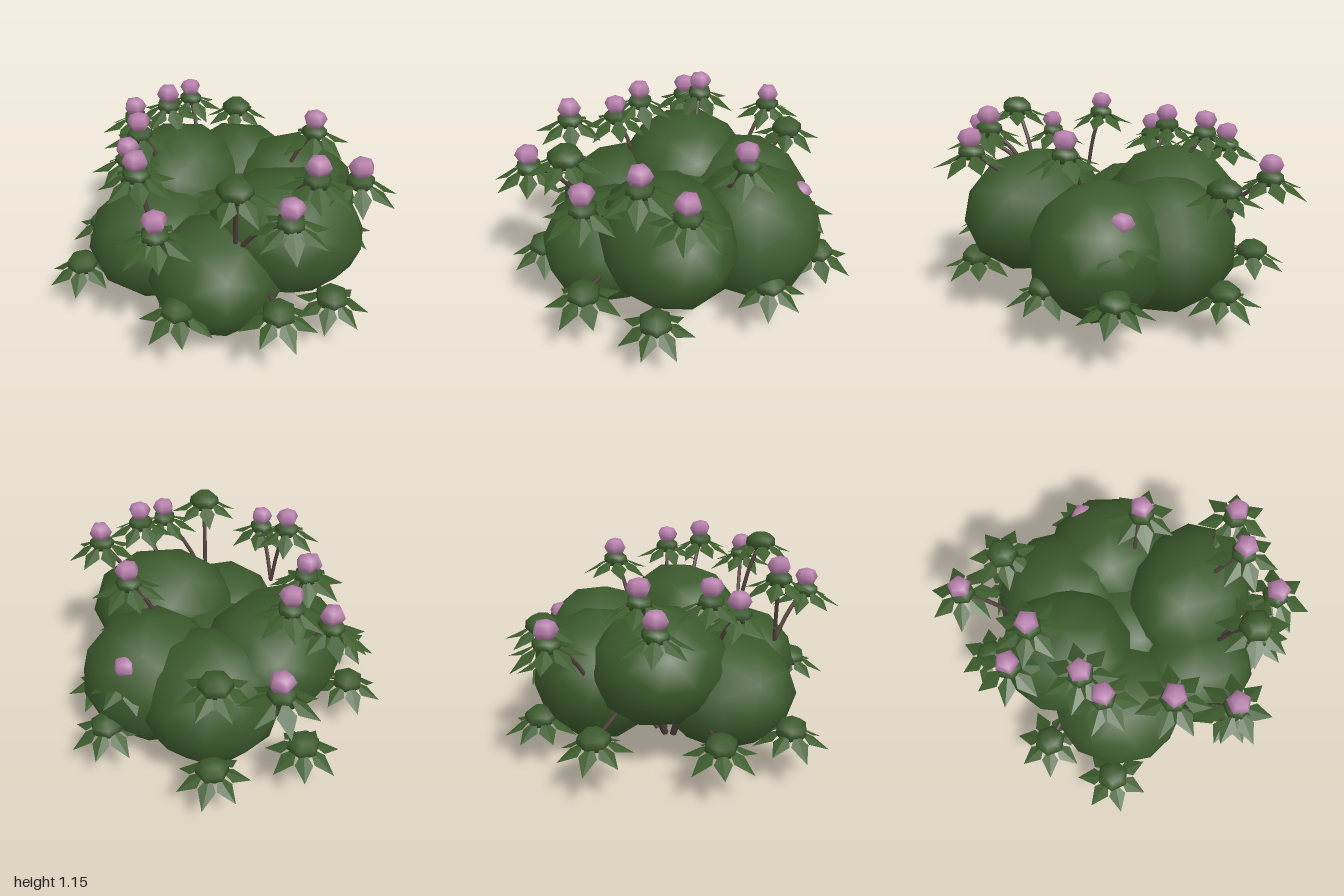
import * as THREE from 'three';
import { mergeVertices } from 'three/addons/utils/BufferGeometryUtils.js';

const mat = (name, color, side = THREE.FrontSide) => {
  const m = new THREE.MeshStandardMaterial({ color, side });
  m.name = name;
  return m;
};

// Foliage mounds: centre, radii, turn
const MOUNDS = [
  [[0.37, 0.575, 0.29], [0.425, 0.34, 0.35], 0.2],
  [[0.38, 0.47, -0.24], [0.39, 0.37, 0.38], 0.5],
  [[-0.27, 0.585, -0.17], [0.37, 0.315, 0.375], 0.1],
  [[-0.35, 0.4, 0.2], [0.38, 0.315, 0.385], 0.4],
  [[0.03, 0.4, 0.485], [0.355, 0.31, 0.36], 0.3],
  [[0.05, 0.455, -0.385], [0.395, 0.365, 0.38], 0],
  [[0.05, 0.5, 0.02], [0.33, 0.2, 0.33], 0],
];

// Flowering sprigs: position of the bud
const FLOWERS = [
  [-0.31, 0.9, -0.79], [-0.57, 0.96, -0.33], [-0.36, 1.06, -0.32], [-0.455, 1.04, 0.035],
  [-0.49, 0.96, 0.18], [-0.36, 1.07, 0.51], [-0.21, 0.93, 0.81], [0.41, 1.01, 0.745],
  [0.52, 1.1, 0.5], [0.735, 1.03, 0.365], [0.5, 1.05, -0.1], [0.48, 0.7, -0.47],
];

// Leaf-only sprigs: position of the leaf cap
const SPRIGS = [
  [0.15, 1.07, 0.72], [0, 0.81, -0.72], [0.02, 0.27, -0.76], [-0.45, 0.33, -0.62],
  [-0.74, 0.3, -0.05], [-0.75, 0.3, 0.37], [-0.12, 0.4, 0.8], [0.38, 0.41, 0.77],
  [0.65, 0.31, 0.5], [0.7, 0.34, -0.15], [0.6, 0.35, -0.54],
];

// Coarse rounded mound with its radii baked in
function moundGeometry([rx, ry, rz], turn) {
  const g = new THREE.IcosahedronGeometry(1.02, 1);
  g.rotateY(turn);
  g.scale(rx, ry, rz);
  g.deleteAttribute('normal');
  g.deleteAttribute('uv');
  const merged = mergeVertices(g, 1e-4);
  merged.computeVertexNormals();
  return merged;
}

// Ring of folded, drooping pointed leaves
function leafRingGeometry(count) {
  const pos = [];
  for (let i = 0; i < count; i++) {
    const a = (i / count) * Math.PI * 2;
    const droop = 0.02 * (i % 2);
    const pt = (r, w, y) => [
      r * Math.cos(a) - w * Math.sin(a), y, r * Math.sin(a) + w * Math.cos(a),
    ];
    const base = pt(0.04, 0, 0.002);
    const tip = pt(0.203, 0, -0.078 - droop);
    pos.push(...base, ...pt(0.108, 0.048, -0.045), ...tip);
    pos.push(...base, ...tip, ...pt(0.108, -0.048, -0.045));
  }
  const g = new THREE.BufferGeometry();
  g.setAttribute('position', new THREE.Float32BufferAttribute(pos, 3));
  g.computeVertexNormals();
  return g;
}

function tube(points, radius) {
  const curve = new THREE.CatmullRomCurve3(points.map((p) => new THREE.Vector3(...p)));
  return new THREE.TubeGeometry(curve, 5, radius, 6);
}

export function createModel() {
  const model = new THREE.Group();
  model.name = 'floweringBush';
  const green = mat('foliage green', 0x3b592c);
  const leafGreen = mat('leaf green', 0x3d5c2d, THREE.DoubleSide);
  const pink = mat('blossom pink', 0xb67fab);
  const bark = mat('bark brown', 0x4f3f3b, THREE.DoubleSide);

  const add = (parent, name, geometry, material) => {
    const m = new THREE.Mesh(geometry, material);
    m.name = name;
    parent.add(m);
    return m;
  };

  // Foliage
  for (const [centre, radii, turn] of MOUNDS) {
    add(model, 'foliageMound', moundGeometry(radii, turn), green).position.set(...centre);
  }

  // Trunks fanning out from the ground
  const trunks = [
    [-0.06, 0.02, -0.22, 0.02], [-0.03, 0.1, -0.1, 0.17], [0.02, 0.09, 0.03, 0.17],
    [0.02, 0, 0.02, -0.16], [0.05, -0.03, 0.18, -0.17], [0.08, 0.03, 0.22, 0.1],
    [-0.03, -0.02, -0.12, -0.18],
  ];
  for (const [x, z, tx, tz] of trunks) {
    const mid = [x + (tx - x) * 0.4, 0.15, z + (tz - z) * 0.4];
    add(model, 'trunk', tube([[x, 0.01, z], mid, [tx, 0.42, tz]], 0.022), bark);
  }

  // Sprigs: twig, leaf ring, cap and optional bud
  const ring = leafRingGeometry(7);
  const cap = new THREE.SphereGeometry(0.092, 6, 4, 0, Math.PI * 2, 0, Math.PI * 0.75);
  cap.scale(1, 0.68, 1);
  const bud = new THREE.SphereGeometry(0.068, 5, 4);
  bud.scale(1, 0.8, 1);

  function sprig([x, y, z], turn, flower) {
    const g = new THREE.Group();
    g.name = flower ? 'flowerSprig' : 'leafSprig';
    g.position.set(x, flower ? y - 0.075 : y, z);
    g.rotation.y = turn;
    add(g, 'leaves', ring, leafGreen);
    const c = add(g, 'leafCap', cap, green);
    if (flower) {
      c.scale.set(0.8, 0.8, 0.8);
      add(g, 'bud', bud, pink).position.y = 0.075;
    }
    model.add(g);

    // Twigs rise from inside the foliage
    const high = y > 0.6;
    let root = high ? [x * 0.68, y - 0.38, z * 0.68] : [x * 0.7, y + 0.05, z * 0.7];
    if (high && z > 0.48 && x < 0) root = [-0.28, 0.6, 0.56];
    if (high && z > 0.7 && x > 0) root = [0.14, 0.6, 0.56];
    const end = [x, g.position.y, z];
    const mid = root.map((v, i) => v + (end[i] - v) * (i === 1 ? 0.6 : 0.45));
    add(model, 'twig', tube([root, mid, end], 0.012), bark);
  }
  FLOWERS.forEach((p, i) => sprig(p, i * 0.83, true));
  SPRIGS.forEach((p, i) => sprig(p, i * 1.13, false));

  return model;
}
